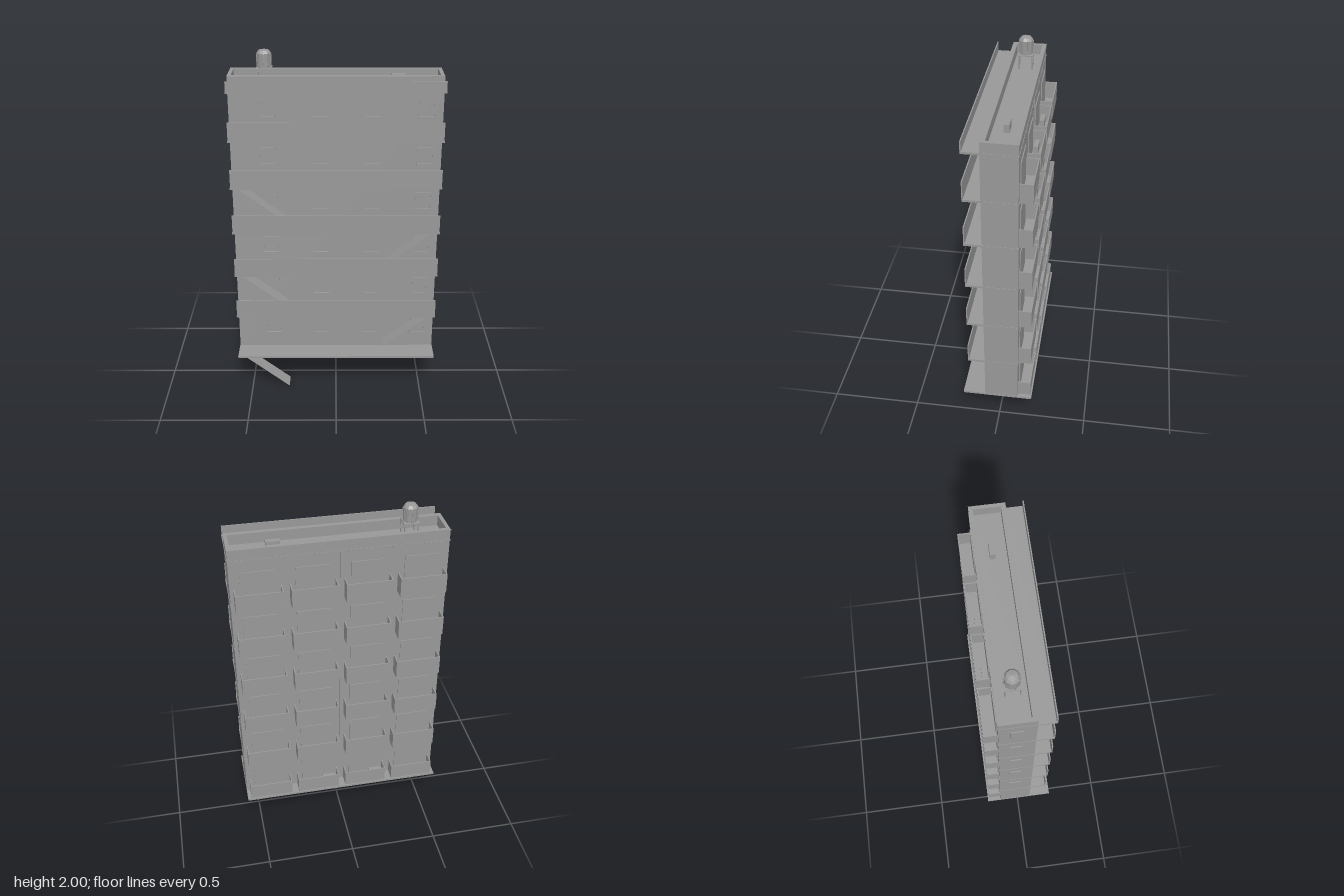
import * as THREE from 'three';

export function createModel() {
  const concrete = new THREE.MeshStandardMaterial({ color: 0x999999 });
  concrete.name = 'concrete grey';
  const model = new THREE.Group();
  model.name = 'apartmentBlock';

  // Box given by its minimum and maximum corners
  const box = (name, x0, x1, y0, y1, z0, z1, parent = model) => {
    const mesh = new THREE.Mesh(new THREE.BoxGeometry(x1 - x0, y1 - y0, z1 - z0), concrete);
    mesh.position.set((x0 + x1) / 2, (y0 + y1) / 2, (z0 + z1) / 2);
    mesh.name = name;
    parent.add(mesh);
    return mesh;
  };

  const W = 0.575, FRONT = 0.07, BACK = -0.117, ROOF = 1.82, TOP = 1.877;
  const RAIL = 0.163, BALCONY = -0.187;
  const floors = [0.215, 0.48, 0.747, 1.013, 1.28, 1.547];
  const bays = [[-0.555, -0.306], [-0.266, -0.02], [0.02, 0.266], [0.306, 0.555]];

  // Foundation slab and main block
  box('baseSlab', -0.577, 0.577, 0.217, 0.229, -0.195, 0.195);
  box('mainBlock', -W, W, 0.229, ROOF, BACK, FRONT);

  // Roof parapet with a thin trim at its foot
  box('parapetFront', -W, W, ROOF, TOP, 0.045, FRONT);
  box('parapetBack', -W, W, ROOF, TOP, BACK, -0.097);
  box('parapetRight', -W, -0.555, ROOF, TOP, -0.097, 0.045);
  box('parapetLeft', 0.555, W, ROOF, TOP, -0.097, 0.045);
  box('parapetCap', -0.577, 0.577, TOP - 0.006, TOP, BACK - 0.002, BACK);
  for (let i = 0; i < 40; i++) {
    const x = -0.56 + i * 0.0287;
    box('corniceTooth', x - 0.005, x + 0.005, 1.808, 1.814, BACK - 0.003, BACK);
  }

  // Access galleries along the front, the highest with a lower rail
  [...floors.slice(1), 1.815].forEach((y) => {
    const gallery = new THREE.Group();
    gallery.name = 'gallery';
    model.add(gallery);
    box('gallerySlab', -0.577, 0.577, y - 0.006, y + 0.006, FRONT, RAIL, gallery);
    box('galleryRail', -W, W, y + 0.006, y > 1.8 ? 1.873 : y + 0.106, RAIL - 0.006, RAIL, gallery);
    box('floorBand', -0.577, 0.577, y - 0.004, y + 0.004, BACK - 0.002, FRONT + 0.002, gallery);
  });

  // Thin frame around a window on the front wall
  const windowFrame = (x, y) => {
    const z0 = FRONT, z1 = FRONT + 0.003;
    box('windowJamb', x - 0.043, x - 0.04, y, y + 0.095, z0, z1);
    box('windowJamb', x + 0.04, x + 0.043, y, y + 0.095, z0, z1);
    box('windowHead', x - 0.043, x + 0.043, y + 0.092, y + 0.095, z0, z1);
  };

  floors.forEach((y, level) => {
    // Front windows and sills
    [-0.37, -0.085, 0.2, 0.485].forEach((x, i) => {
      box('windowSill', x - 0.043, x + 0.043, y + 0.106, y + 0.111, FRONT, FRONT + 0.008);
      if (i === 0 || i === 3) windowFrame(x, y + 0.111);
    });
    // Windows on the right end wall
    if (level > 0) box('endWindow', -0.58, -W, y + 0.11, y + 0.2, -0.06, 0.005);

    // Rear balconies with floors, side walls and doors
    bays.forEach(([x0, x1], i) => {
      const b = new THREE.Group();
      b.name = 'balcony';
      model.add(b);
      const y0 = Math.max(y - 0.004, 0.226), y1 = y + 0.106, t = 0.006;
      box('balconyFloor', x0, x1, y0, y0 + 0.01, BALCONY, BACK, b);
      box('balconyFront', x0, x1, y0 + 0.01, y1, BALCONY, BALCONY + t, b);
      box('balconySide', x0, x0 + t, y0 + 0.01, y1, BALCONY + t, BACK, b);
      box('balconySide', x1 - t, x1, y0 + 0.01, y1, BALCONY + t, BACK, b);
      const mid = [-0.43, -0.145, 0.145, 0.43][i];
      box('balconyDoor', mid - 0.09, mid + 0.09, y0 + 0.01, y + 0.2, BACK - 0.005, BACK, b);
      if (i === 1 || i === 2) {
        const x = i === 1 ? -0.25 : 0.035;
        box('coolingUnit', x, x + 0.075, y0 + 0.01, y0 + 0.06, -0.155, -0.13, b);
      }
    });
  });

  // Drain pipe down the middle of the rear wall
  box('drainPipe', -0.003, 0.003, 0.229, 1.81, BACK - 0.005, BACK);

  // Stair flights: sloping thin plates between galleries
  const flight = (xa, ya, xb, yb) => {
    const ramp = new THREE.Mesh(
      new THREE.BoxGeometry(Math.hypot(xb - xa, yb - ya), 0.005, 0.088), concrete);
    ramp.position.set((xa + xb) / 2, (ya + yb) / 2, 0.117);
    ramp.rotation.z = Math.atan2(yb - ya, xb - xa);
    ramp.name = 'stairFlight';
    model.add(ramp);
  };
  floors.slice(1, 5).forEach((y, i) => {
    const s = i % 2 ? -1 : 1;
    flight(0.535 * s, y - 0.005, 0.28 * s, y - 0.203);
  });
  flight(-0.55, 0.217, -0.28, 0.002);

  // Roof vent box
  box('roofVent', 0.297, 0.371, ROOF, ROOF + 0.045, -0.043, -0.015);

  // Water tank on a legged stand
  const tank = new THREE.Group();
  tank.name = 'waterTank';
  tank.position.set(-0.383, 0, -0.026);
  model.add(tank);
  for (const x of [-0.036, 0.036]) for (const z of [-0.036, 0.036]) {
    box('tankLeg', x - 0.003, x + 0.003, ROOF, 1.898, z - 0.003, z + 0.003, tank);
  }
  box('tankStand', -0.042, 0.042, 1.897, 1.903, -0.042, 0.042, tank);
  const profile = [[0, 1.903], [0.037, 1.903], [0.039, 1.98], [0.028, 1.995], [0, 2]]
    .map(([r, y]) => new THREE.Vector2(r, y));
  const body = new THREE.Mesh(
    new THREE.LatheGeometry(profile, 10).toNonIndexed(), concrete);
  body.geometry.computeVertexNormals();
  body.name = 'tankBody';
  tank.add(body);
  for (let i = 0; i < 10; i++) {
    const a = (i / 10) * Math.PI * 2;
    const rib = box('tankRib', -0.002, 0.002, 1.905, 1.978, -0.002, 0.002, tank);
    rib.position.x = Math.sin(a) * 0.039;
    rib.position.z = Math.cos(a) * 0.039;
    rib.rotation.y = a;
  }
  return model;
}
